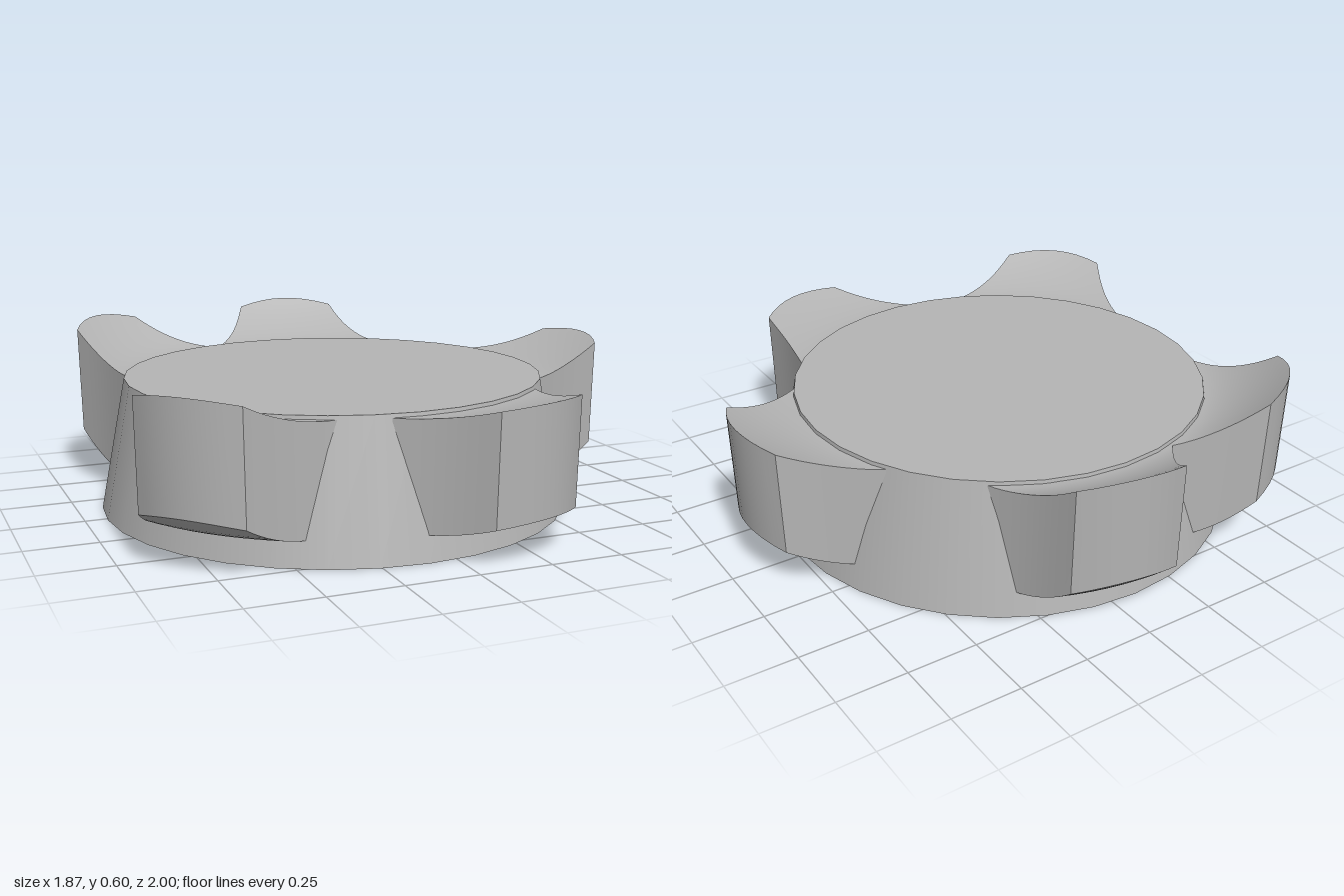
import * as THREE from 'three';
import { mergeGeometries } from 'three/addons/utils/BufferGeometryUtils.js';

const gray = new THREE.MeshStandardMaterial({ color: 0xb4b4b4 });
gray.name = 'plain gray';

// Bends a unit grid (u, v in 0..1) into a curved face; its front is dU x dV
function patch(nu, nv, place) {
  const g = new THREE.PlaneGeometry(1, 1, nu, nv);
  const p = g.attributes.position;
  for (let i = 0; i < p.count; i++) {
    p.setXYZ(i, ...place(p.getX(i) + 0.5, p.getY(i) + 0.5));
  }
  g.computeVertexNormals();
  return g;
}

// Flared lug along +x: concave sides, rounded tip, top and bottom sweeping up by rise
function lugGeometry(rise) {
  // s runs outwards, w across, h from bottom to top
  const point = (s, w, h) => {
    const side = 2 * w - 1;
    const tip = 0.975 + 0.05 * (1 - side * side);
    const x = THREE.MathUtils.lerp(0.66, tip, s) - 0.01 * s * (1 - h);
    const half = THREE.MathUtils.lerp(0.337, 0.19, s) - 0.012 * Math.sin(Math.PI * s);
    const z = side * half;
    const r = Math.hypot(x, z);
    const sweep = (from) => rise * Math.pow(Math.max(0, (r - from) / (1.025 - from)), 1.6);
    const bottom = 0.085 + sweep(0.8);
    const top = 0.45 + sweep(0.745);
    return [x, THREE.MathUtils.lerp(bottom, top, h), z];
  };
  return mergeGeometries([
    patch(8, 12, (u, v) => point(v, u, 1)), // top
    patch(12, 8, (u, v) => point(u, v, 0)), // bottom
    patch(1, 8, (u, v) => point(1, v, u)), // tip
    patch(12, 1, (u, v) => point(u, 1, v)), // +z side
    patch(1, 12, (u, v) => point(v, 0, u)), // -z side
  ]);
}

export function createModel() {
  const model = new THREE.Group();
  model.name = 'lobedKnob';
  const knob = new THREE.Group();
  knob.name = 'knob';
  knob.position.set(-0.095, 0, 0.018);
  model.add(knob);

  // Tapered round body
  const body = new THREE.Mesh(new THREE.CylinderGeometry(0.74, 0.83, 0.463, 32), gray);
  body.name = 'body';
  body.position.y = 0.2315;
  knob.add(body);

  // Five unevenly spaced lugs: angle from +x towards +z, and rise at the tip
  const lugs = [[0, 0.1], [70, 0.06], [137.4, 0.11], [227.6, 0.15], [279.4, 0.145]];
  lugs.forEach(([angle, rise], i) => {
    const lug = new THREE.Mesh(lugGeometry(rise), gray);
    lug.name = `lug${i + 1}`;
    lug.rotation.y = -THREE.MathUtils.degToRad(angle);
    knob.add(lug);
  });

  return model;
}
